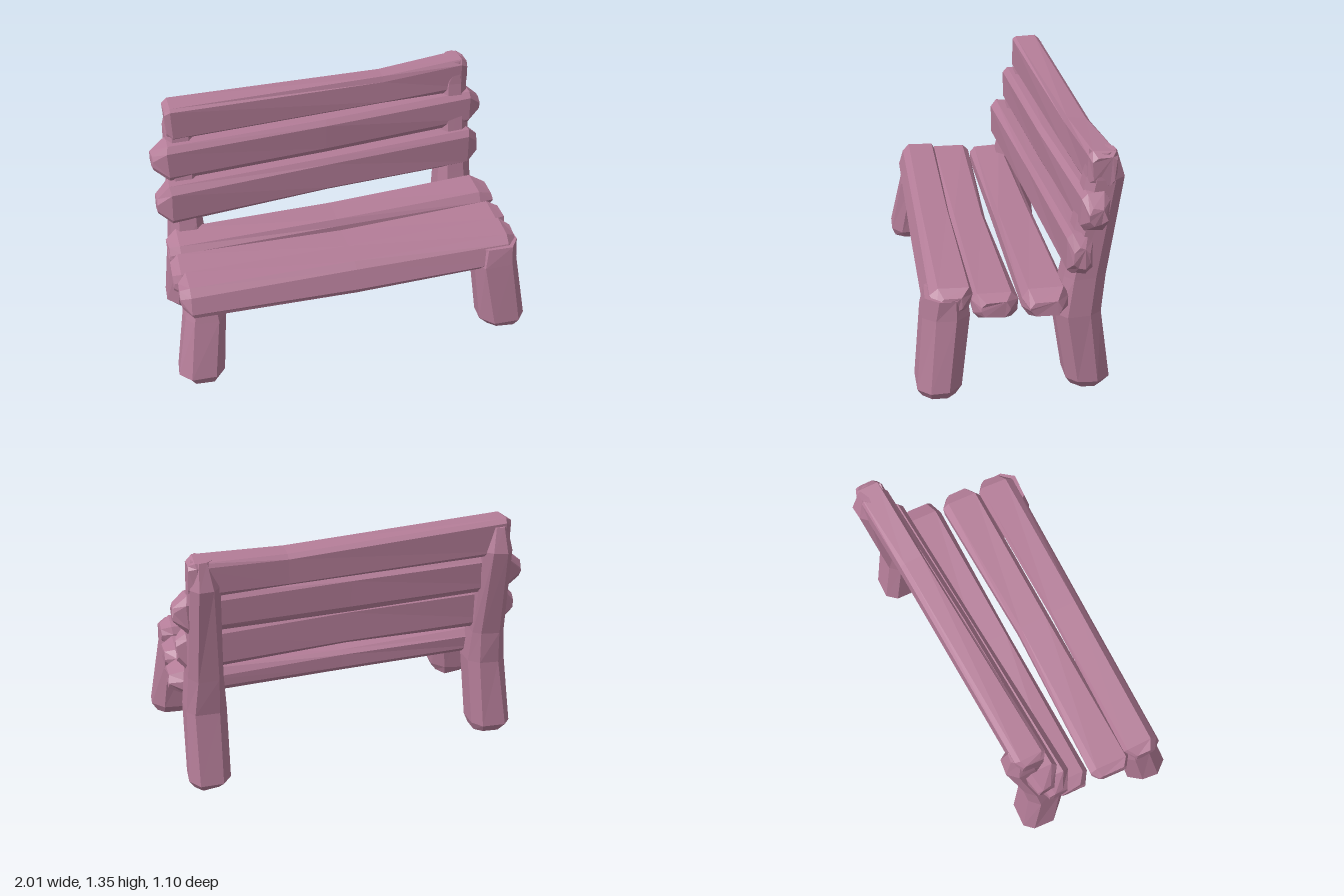
import * as THREE from 'three';

const wood = new THREE.MeshStandardMaterial({ color: 0xb47d98, flatShading: true });
wood.name = 'mauve wood';

// Small seeded noise for the hand-hewn look
function seeded(seed) {
  let s = seed;
  return () => {
    s = (s * 16807) % 2147483647;
    return s / 2147483647 - 0.5;
  };
}

// Loft of chamfered rectangles along x or y, capped at both ends.
// station: [position, uMin, uMax, vMin, vMax, chamfer, tilt]
// along x: u = y, v = z;  along y: u = z, v = x
function hewnBeam(name, axis, stations, seed) {
  const rnd = seeded(seed * 7919 + 17);
  const rings = stations.map(([t, u0, u1, v0, v1, c, tilt = 0]) => {
    const d = c * 0.8;
    const corners = [
      [u1, v0 + d], [u1, v1 - d], [u1 - c, v1], [u0 + c, v1],
      [u0, v1 - d], [u0, v0 + d], [u0 + c, v0], [u1 - c, v0],
    ];
    return corners.map(([u, v]) => {
      const lean = tilt * ((u - u0) / (u1 - u0) - 0.5);
      const a = t + rnd() * 0.012;
      const b = u + rnd() * 0.012;
      const e = v + lean + rnd() * 0.012;
      return axis === 'x' ? [a, b, e] : [e, a, b];
    });
  });
  const pos = [];
  const tri = (a, b, c) => pos.push(...a, ...b, ...c);
  const n = 8;
  for (let k = 0; k < rings.length - 1; k++) {
    const A = rings[k], B = rings[k + 1];
    for (let i = 0; i < n; i++) {
      const j = (i + 1) % n;
      tri(A[i], A[j], B[j]);
      tri(A[i], B[j], B[i]);
    }
  }
  const first = rings[0], last = rings[rings.length - 1];
  for (let i = 1; i < n - 1; i++) {
    tri(first[0], first[i + 1], first[i]);
    tri(last[0], last[i], last[i + 1]);
  }
  const geo = new THREE.BufferGeometry();
  geo.setAttribute('position', new THREE.Float32BufferAttribute(pos, 3));
  geo.computeVertexNormals();
  const mesh = new THREE.Mesh(geo, wood);
  mesh.name = name;
  return mesh;
}

export function createModel() {
  const bench = new THREE.Group();
  bench.name = 'bench';

  const planks = {
    // Backrest, top to bottom
    backrestTopPlank: [
      [-0.89, 1.17, 1.33, -0.36, -0.25, 0.02],
      [-0.86, 1.15, 1.35, -0.38, -0.23, 0.02],
      [0.35, 1.14, 1.315, -0.47, -0.33, 0.025],
      [0.82, 1.14, 1.34, -0.52, -0.37, 0.025],
      [0.86, 1.17, 1.32, -0.5, -0.39, 0.025],
    ],
    backrestMiddlePlank: [
      [-0.985, 0.98, 1.07, -0.31, -0.22, 0.03],
      [-0.9, 0.92, 1.14, -0.34, -0.17, 0.035],
      [0, 0.925, 1.13, -0.4, -0.25, 0.03],
      [0.87, 0.93, 1.14, -0.47, -0.33, 0.035],
      [0.94, 0.99, 1.08, -0.45, -0.36, 0.03],
    ],
    backrestLowerPlank: [
      [-0.985, 0.74, 0.84, -0.24, -0.14, 0.03],
      [-0.91, 0.68, 0.92, -0.26, -0.1, 0.035],
      [0, 0.7, 0.915, -0.33, -0.19, 0.03],
      [0.86, 0.68, 0.915, -0.4, -0.27, 0.035],
      [0.92, 0.74, 0.86, -0.38, -0.3, 0.03],
    ],
    // Seat, back to front
    seatBackPlank: [
      [-0.96, 0.5, 0.58, -0.14, -0.01, 0.03],
      [-0.9, 0.48, 0.62, -0.18, 0.03, 0.035],
      [0, 0.48, 0.61, -0.23, -0.01, 0.03],
      [0.87, 0.47, 0.62, -0.29, -0.04, 0.045],
      [0.96, 0.51, 0.58, -0.24, -0.08, 0.03],
    ],
    seatMiddlePlank: [
      [-0.965, 0.5, 0.59, 0.08, 0.25, 0.03],
      [-0.92, 0.48, 0.62, 0.05, 0.28, 0.03],
      [0, 0.48, 0.61, 0.04, 0.24, 0.03],
      [0.88, 0.47, 0.62, -0.02, 0.21, 0.04],
      [0.945, 0.51, 0.59, 0.02, 0.17, 0.03],
    ],
    seatFrontPlank: [
      [-0.95, 0.53, 0.62, 0.31, 0.43, 0.025, -0.03],
      [-0.9, 0.49, 0.65, 0.28, 0.47, 0.03, -0.05],
      [0, 0.475, 0.65, 0.26, 0.45, 0.03, -0.05],
      [0.87, 0.48, 0.65, 0.22, 0.43, 0.035, -0.05],
      [0.93, 0.53, 0.62, 0.25, 0.39, 0.03, -0.03],
    ],
  };

  const posts = {
    rightFrontLeg: [
      [0.065, 0.34, 0.52, -0.96, -0.78, 0.05],
      [0.11, 0.31, 0.55, -1.0, -0.75, 0.07],
      [0.45, 0.27, 0.48, -0.94, -0.72, 0.06],
      [0.6, 0.27, 0.45, -0.9, -0.74, 0.05],
    ],
    leftFrontLeg: [
      [0.06, 0.3, 0.47, 0.78, 0.97, 0.05],
      [0.11, 0.265, 0.5, 0.74, 1.0, 0.07],
      [0.5, 0.225, 0.46, 0.685, 0.94, 0.065],
      [0.61, 0.23, 0.44, 0.7, 0.93, 0.06],
    ],
    rightBackPost: [
      [0.03, -0.34, -0.17, -0.95, -0.77, 0.05],
      [0.08, -0.37, -0.14, -0.98, -0.75, 0.06],
      [0.47, -0.32, -0.09, -0.94, -0.73, 0.06],
      [0.66, -0.33, -0.125, -0.92, -0.74, 0.05],
      [1.18, -0.43, -0.24, -0.9, -0.74, 0.05],
      [1.32, -0.4, -0.26, -0.87, -0.77, 0.04],
    ],
    leftBackPost: [
      [0.005, -0.48, -0.32, 0.71, 0.88, 0.05],
      [0.05, -0.51, -0.28, 0.68, 0.91, 0.06],
      [0.45, -0.46, -0.22, 0.68, 0.9, 0.06],
      [0.66, -0.475, -0.26, 0.69, 0.88, 0.05],
      [1.2, -0.55, -0.36, 0.7, 0.86, 0.05],
      [1.335, -0.51, -0.38, 0.73, 0.84, 0.04],
    ],
  };

  let seed = 1;
  for (const [name, s] of Object.entries(planks)) bench.add(hewnBeam(name, 'x', s, seed++));
  for (const [name, s] of Object.entries(posts)) bench.add(hewnBeam(name, 'y', s, seed++));
  return bench;
}
